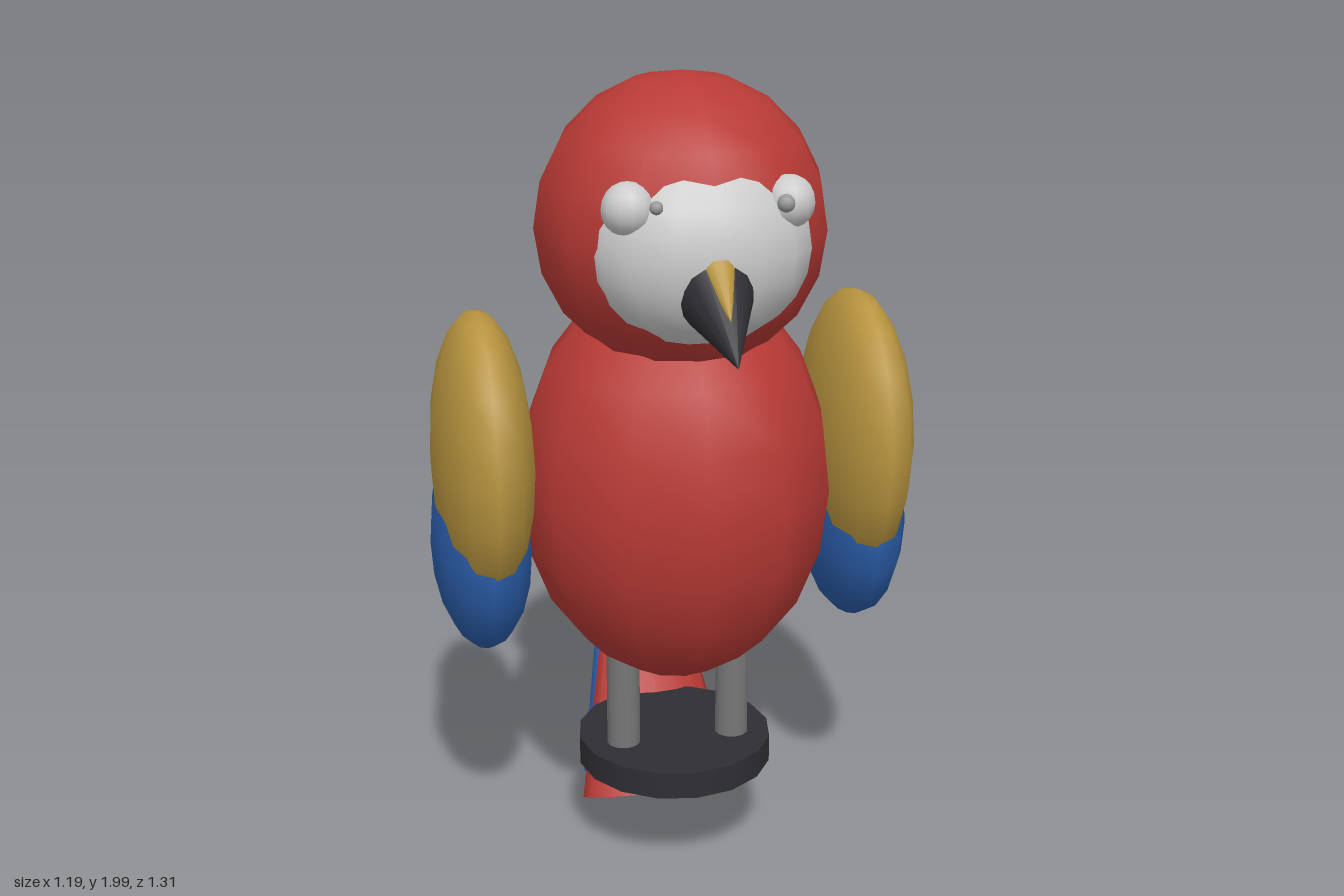
import * as THREE from 'three';

const RED = 0xb93a35, GOLD = 0xb8943f, BLUE = 0x2a5ca8, BLACK = 0x2f2e33, WHITE = 0xcccccc, GREY = 0x777777;

export function createModel() {
  const model = new THREE.Group();
  model.name = 'parrot';

  function add(name, geometry, color, x, y, z) {
    const mesh = new THREE.Mesh(geometry, new THREE.MeshStandardMaterial({ color }));
    mesh.name = name;
    mesh.position.set(x, y, z);
    model.add(mesh);
    return mesh;
  }

  // Low-segment ellipsoid with smooth normals
  function ellipsoid(name, color, [x, y, z], [rx, ry, rz], w = 12, h = 10) {
    const mesh = add(name, new THREE.SphereGeometry(1, w, h), color, x, y, z);
    mesh.scale.set(rx, ry, rz);
    return mesh;
  }

  // Closed cone from base centre to tip in the middle plane, widened along x
  function cone(name, color, [baseY, baseZ], [tipY, tipZ], radius, widen = 1) {
    const axis = new THREE.Vector3(0, tipY - baseY, tipZ - baseZ);
    const mesh = add(name, new THREE.ConeGeometry(radius, axis.length(), 16), color,
      0, (baseY + tipY) / 2, (baseZ + tipZ) / 2);
    mesh.quaternion.setFromUnitVectors(new THREE.Vector3(0, 1, 0), axis.normalize());
    mesh.scale.x = widen;
    return mesh;
  }

  // Body and head
  ellipsoid('body', RED, [0, 1.01, 0.07], [0.385, 0.51, 0.385]);
  ellipsoid('head', RED, [0, 1.655, 0.13], [0.345, 0.345, 0.345]);

  // Pale face patch with the two-part beak
  ellipsoid('face', WHITE, [0, 1.635, 0.3], [0.26, 0.227, 0.2], 16, 12);
  cone('beak', BLACK, [1.565, 0.44], [1.45, 0.655], 0.095);
  cone('beakRidge', GOLD, [1.615, 0.47], [1.535, 0.588], 0.045);

  // Eyes: the right one sits a little deeper and closer in
  ellipsoid('leftEye', 0x999999, [0.16, 1.752, 0.44], [0.02, 0.02, 0.02]);
  ellipsoid('rightEye', 0x999999, [-0.128, 1.755, 0.44], [0.015, 0.015, 0.015]);

  // Mirrored eye patches, wings and legs
  for (const [side, s] of [['left', 1], ['right', -1]]) {
    ellipsoid(side + 'EyePatch', WHITE, [s * 0.18, 1.745, 0.39], [0.06, 0.06, 0.06]);
    ellipsoid(side + 'WingUpper', GOLD, [s * 0.467, 1.085, 0.032], [0.123, 0.355, 0.295]);
    ellipsoid(side + 'WingTip', BLUE, [s * 0.472, 0.86, 0], [0.123, 0.275, 0.25]);
    add(side + 'Leg', new THREE.CylinderGeometry(0.042, 0.042, 0.3, 12), GREY, s * 0.14, 0.45, 0.105);
  }

  // Round perch
  add('perch', new THREE.CylinderGeometry(0.245, 0.245, 0.07, 16), BLACK, 0, 0.285, 0.065);

  // Tail feathers: flattened cones, wide ends down
  cone('tailFront', RED, [0.048, -0.115], [1.005, -0.52], 0.103, 2);
  cone('tailBack', BLUE, [0.042, -0.27], [1.005, -0.655], 0.07, 2.5);

  return model;
}
